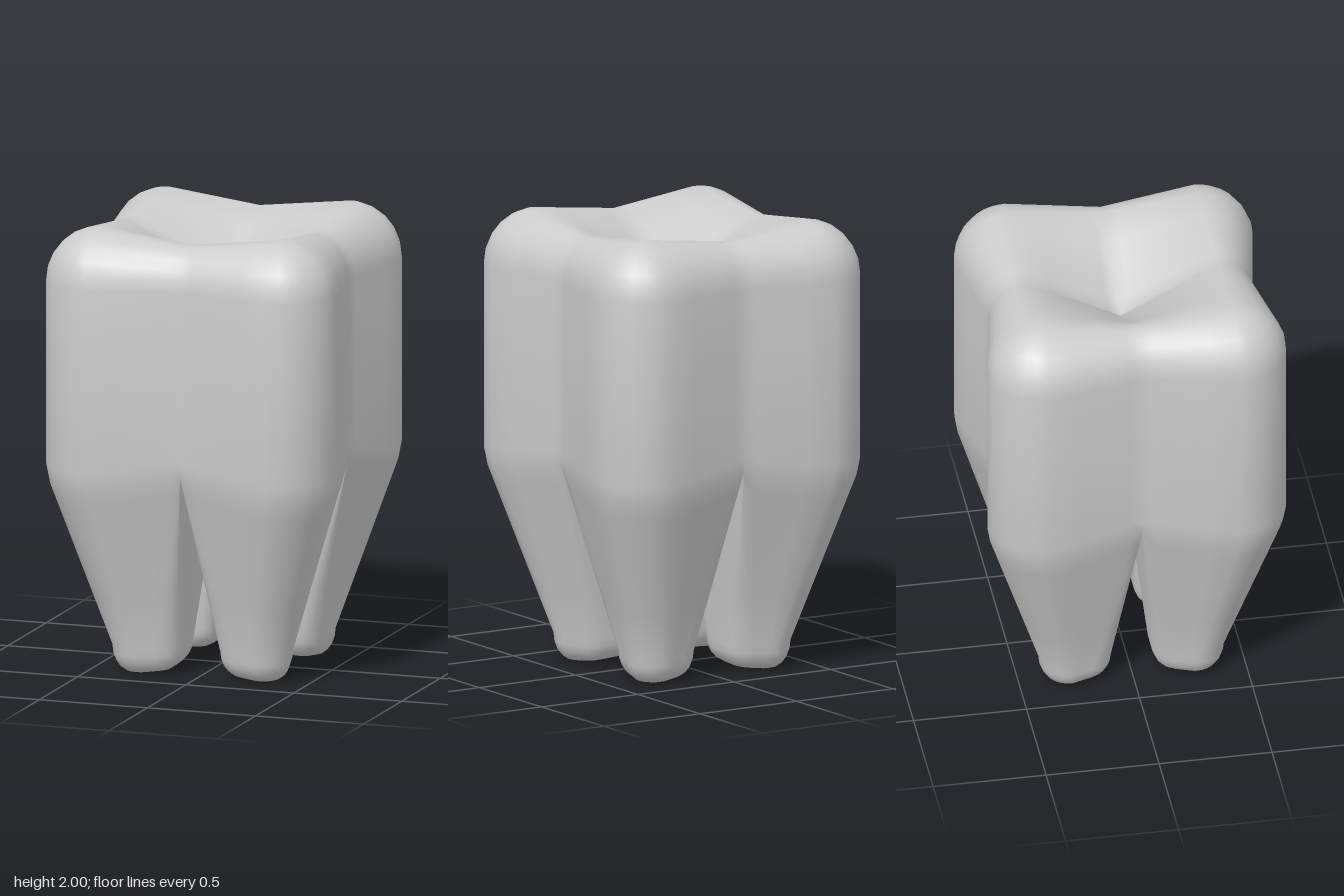
import * as THREE from 'three';
import { toCreasedNormals } from 'three/addons/utils/BufferGeometryUtils.js';

const V = (x, y, z) => new THREE.Vector3(x, y, z);
const mix = (a, b, t) => a.clone().lerp(b, t);
const lerp = THREE.MathUtils.lerp;
const FRACTIONS = [0, 0.12, 0.4, 0.7, 1]; // tight first step keeps the side creases narrow
const FIRST_OUTER = 6; // ring index where the outer wall begins

// rounded corner at b, reaching d towards a and c
function corner(a, b, c, d, ts) {
  const p = b.clone().add(a.clone().sub(b).setLength(d));
  const q = b.clone().add(c.clone().sub(b).setLength(d));
  return ts.map(t => mix(mix(p, b, t), mix(b, q, t), t));
}

// Cross-section of one quarter: inner corner, side middle, outer arc, side middle, inner corner.
// m: side middle distance, g: half gap, c/r: arc centre and radius, d: edge rounding,
// yA/yO: heights at the side middle and at the outer corner
function ring({ m, g, c, r, d, yA, yO }) {
  const inner = V(g, yA, g), side = V(g, yA, m), side2 = V(m, yA, g), arc = V(c, yO, c + r);
  const sideCorner = corner(inner, side, arc, d, [0, 1 / 3, 2 / 3, 1]);
  const half = [...corner(side2, inner, side, d, [0.5, 0.75, 1]), ...sideCorner];
  for (const f of FRACTIONS.slice(1)) half.push(mix(sideCorner[3], arc, f));
  for (let i = 1; i <= 3; i++) {
    const a = Math.PI / 2 - i * Math.PI / 12;
    half.push(V(c + r * Math.cos(a), yO, c + r * Math.sin(a)));
  }
  const mirrored = half.slice(0, -1).reverse().map(p => V(p.z, p.y, p.x));
  return [...half, ...mirrored];
}

function createQuarter() {
  const tris = [];
  const tri = (a, b, c) => {
    const area = b.clone().sub(a).cross(c.clone().sub(a)).length();
    if (area > 1e-8) tris.push(a, b, c);
  };
  const quad = (a, b, c, d) => { tri(a, b, c); tri(a, c, d); };
  const loft = (rings, skip) => {
    for (let i = 0; i < rings.length - 1; i++) {
      const [up, low] = [rings[i], rings[i + 1]];
      for (let j = skip; j < up.length - 1 - skip; j++) quad(up[j], low[j], low[j + 1], up[j + 1]);
    }
  };

  // crown: rounded rim, then straight walls down to the fork
  const crown = [];
  for (let i = 6; i >= 0; i--) {
    const a = i / 6 * Math.PI / 2, s = Math.sin(a), k = i === 6 ? 0 : Math.cos(a);
    crown.push(ring({ m: 0.43 + 0.15 * k, g: 0, c: 0.42, r: 0.24 * k, d: 0, yA: 1.76 + 0.19 * s, yO: 1.76 + 0.24 * s }));
  }
  crown.push(ring({ m: 0.58, g: 0, c: 0.42, r: 0.24, d: 0, yA: 1.0, yO: 0.94 }));
  const fork = ring({ m: 0.575, g: 0, c: 0.412, r: 0.235, d: 0, yA: 0.94, yO: 0.86 });
  crown.push(fork);
  loft(crown, FIRST_OUTER);

  // chewing surface: patch sinking from the rim to the middle
  const centre = V(0, 1.7, 0), sideZ = V(0, 1.95, 0.43), sideX = V(0.43, 1.95, 0), cusp = V(0.42, 2, 0.42);
  const bowl = (u, v) => mix(mix(centre, sideZ, u), mix(sideX, cusp, u), v);
  for (let i = 0; i < 4; i++) for (let j = 0; j < 4; j++) {
    const [u, u2, v, v2] = [FRACTIONS[i], FRACTIONS[i + 1], FRACTIONS[j], FRACTIONS[j + 1]];
    quad(bowl(u, v), bowl(u2, v), bowl(u2, v2), bowl(u, v2));
  }

  // root: tapers from the fork to a rounded foot
  const root = [fork];
  for (const t of [0.1, 0.4, 0.7, 1]) {
    root.push(ring({
      m: lerp(0.575, 0.36, t), g: 0.09 * t, c: lerp(0.412, 0.28, t), r: lerp(0.235, 0.13, t),
      d: 0.08 * t, yA: lerp(0.94, 0.12, t), yO: lerp(0.86, 0.12, t),
    }));
  }
  const ankle = root[root.length - 1];
  for (let i = 1; i <= 5; i++) {
    const a = i / 5 * Math.PI / 2, f = 0.5 + 0.5 * Math.cos(a);
    root.push(ankle.map(p => {
      const drop = 0.11 + 0.04 * (p.x + p.z - 0.5); // outer side hangs lowest
      return V(lerp(0.25, p.x, f), 0.12 - Math.min(drop, 0.12) * Math.sin(a), lerp(0.25, p.z, f));
    }));
  }
  loft(root, 0);
  const sole = root[root.length - 1], tip = V(0.26, 0.005, 0.26);
  for (let j = 0; j < sole.length - 1; j++) tri(tip, sole[j + 1], sole[j]);
  return tris;
}

export function createModel() {
  const group = new THREE.Group();
  group.name = 'molar';

  // four quarters turned about the vertical axis
  const quarter = createQuarter(), points = [];
  for (const [c, s] of [[1, 0], [0, 1], [-1, 0], [0, -1]]) {
    for (const p of quarter) points.push(V(c * p.x + s * p.z, p.y, c * p.z - s * p.x));
  }
  const geometry = toCreasedNormals(new THREE.BufferGeometry().setFromPoints(points), 1.2);
  const tooth = new THREE.Mesh(geometry, new THREE.MeshStandardMaterial({ color: 0xcccccc }));
  tooth.name = 'crownAndRoots';
  group.add(tooth);
  return group;
}
